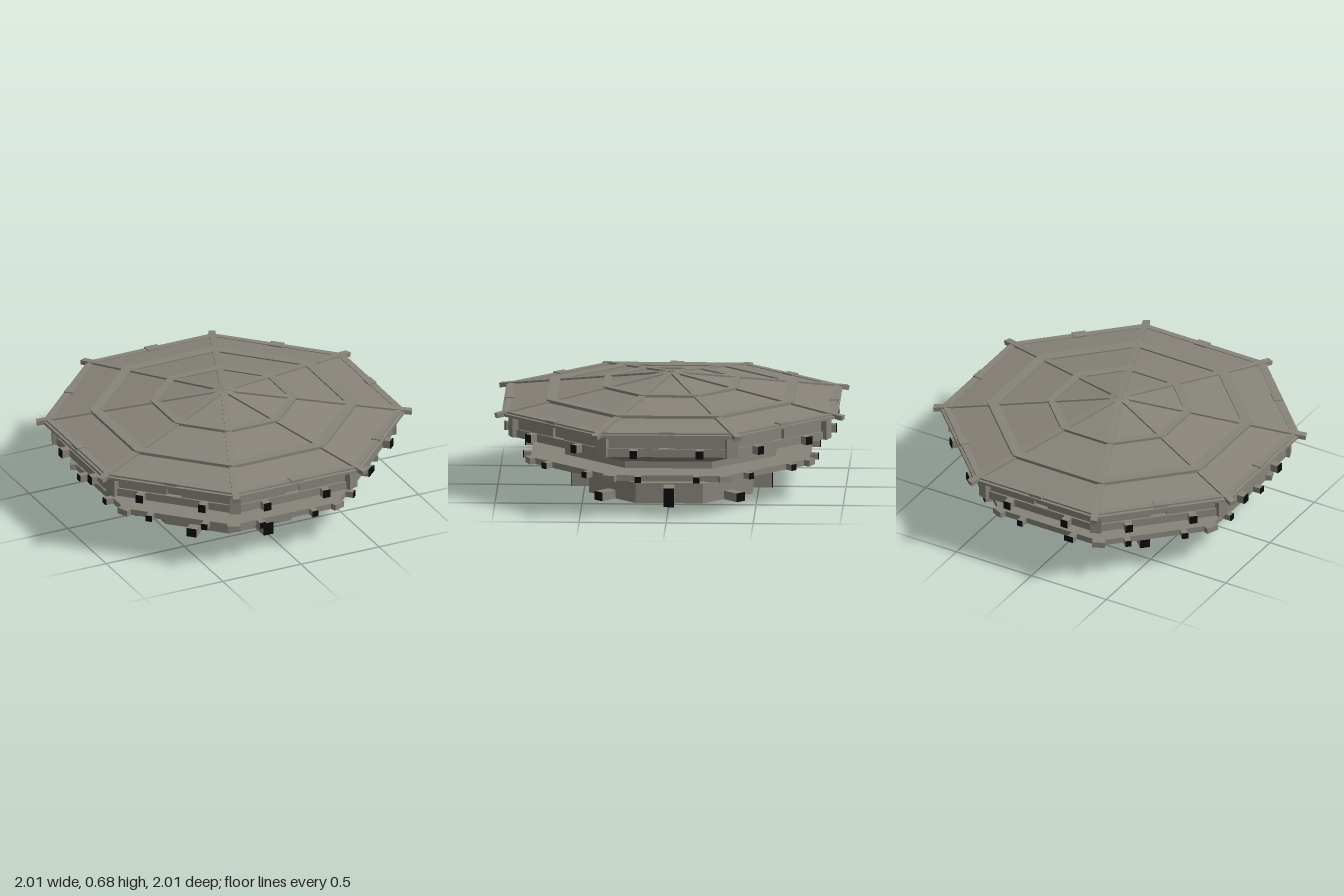
import * as THREE from 'three';

const stone = new THREE.MeshStandardMaterial({ color: 0x87837a, flatShading: true });
stone.name = 'greyStone';
const dark = new THREE.MeshStandardMaterial({ color: 0x0a0a0a, flatShading: true });
dark.name = 'blackEnd';

const K = 1 / Math.cos(Math.PI / 8); // distance to a flat -> distance to a corner

export function createModel() {
  const model = new THREE.Group();
  model.name = 'octagonalPavilion';

  const add = (name, geometry, material = stone) => {
    const mesh = new THREE.Mesh(geometry, material);
    mesh.name = name;
    model.add(mesh);
    return mesh;
  };

  // Octagonal tier with flats facing the axes
  const tier = (name, bottom, top, y0, y1) =>
    add(name, new THREE.CylinderGeometry(top * K, bottom * K, y1 - y0, 8)
      .rotateY(Math.PI / 8).translate(0, (y0 + y1) / 2, 0));

  // Box reaching from radius r0 to r1 at an angle, shifted sideways
  const block = (name, angle, side, r0, r1, w, y0, y1, material = stone) =>
    add(name, new THREE.BoxGeometry(w, y1 - y0, r1 - r0)
      .translate(side, (y0 + y1) / 2, (r0 + r1) / 2).rotateY(angle), material);

  // Beam with a dark end plate
  const beam = (name, angle, side, r0, r1, w, y0, y1) => {
    block(name, angle, side, r0, r1 - 0.005, w, y0, y1);
    block(name + 'End', angle, side, r1 - 0.005, r1, w, y0, y1, dark);
  };

  // Raised octagonal strip lying on the roof
  const strip = (name, inner, outer, y0, y1) => {
    const pts = [[outer, y0], [outer, y1], [inner, y1], [inner, y0]]
      .map(([a, y]) => new THREE.Vector2(a * K, y));
    add(name, new THREE.LatheGeometry(pts, 8, Math.PI / 8));
  };

  // Base and lower platform
  tier('base', 0.47, 0.47, 0, 0.118);
  tier('baseChamfer', 0.47, 0.45, 0.118, 0.13);
  tier('lowerFlare', 0.45, 0.78, 0.13, 0.2);
  tier('lowerRing', 0.8, 0.8, 0.2, 0.235);

  // Neck and upper storey
  tier('neck', 0.605, 0.605, 0.235, 0.275);
  tier('upperFlare', 0.605, 0.88, 0.275, 0.365);
  tier('upperSill', 0.905, 0.905, 0.365, 0.412);
  tier('upperWall', 0.875, 0.875, 0.412, 0.488);
  tier('eaveBand', 0.92, 0.92, 0.477, 0.49);

  // Roof
  const apex = 0.668, rim = 0.505, rimFlat = 0.965;
  tier('roofEdge', rimFlat, rimFlat, 0.49, rim);
  add('roof', new THREE.ConeGeometry(rimFlat * K, apex - rim, 8)
    .rotateY(Math.PI / 8).translate(0, (apex + rim) / 2, 0));
  strip('innerRoofStrip', 0.345, 0.39, 0.595, 0.617);
  strip('outerRoofStrip', 0.65, 0.71, 0.54, 0.566);
  strip('rimRoofStrip', 0.915, 0.95, 0.5, 0.517);

  const slope = Math.atan2(apex - rim, rimFlat * K);
  const ribLength = 1.08 / Math.cos(slope);

  for (let i = 0; i < 8; i++) {
    const face = i * Math.PI / 4;
    const corner = face + Math.PI / 8;

    // Feet: tall ones on the axes, low ones on the diagonals
    beam('foot', face, 0, 0.44, 0.58, 0.06, 0, i % 2 ? 0.05 : 0.11);

    // Paired beam ends on both storeys
    for (const s of [-1, 1]) {
      beam('lowerBeam', face, s * 0.168, 0.75, 0.85, 0.036, 0.2, 0.235);
      beam('upperBeam', face, s * 0.19, 0.86, 0.955, 0.045, 0.365, 0.412);
      // Wall panels leave a narrow slot in the middle
      block('wallPanel', face, s * 0.195, 0.86, 0.893, 0.3, 0.412, 0.478);
    }

    // Corner posts
    block('lowerCorner', corner, 0, 0.8, 0.885, 0.075, 0.2, 0.235);
    block('upperCorner', corner, 0, 0.9, 0.99, 0.065, 0.365, 0.49);

    // Roof ribs along the hips and tabs on the rim
    add('roofRib', new THREE.BoxGeometry(0.04, 0.026, ribLength)
      .translate(0, -0.004, ribLength / 2).rotateX(slope)
      .translate(0, apex, 0).rotateY(corner));
    block('rimTab', face, 0, 0.905, 0.957, 0.08, 0.5, 0.523);
  }

  return model;
}
